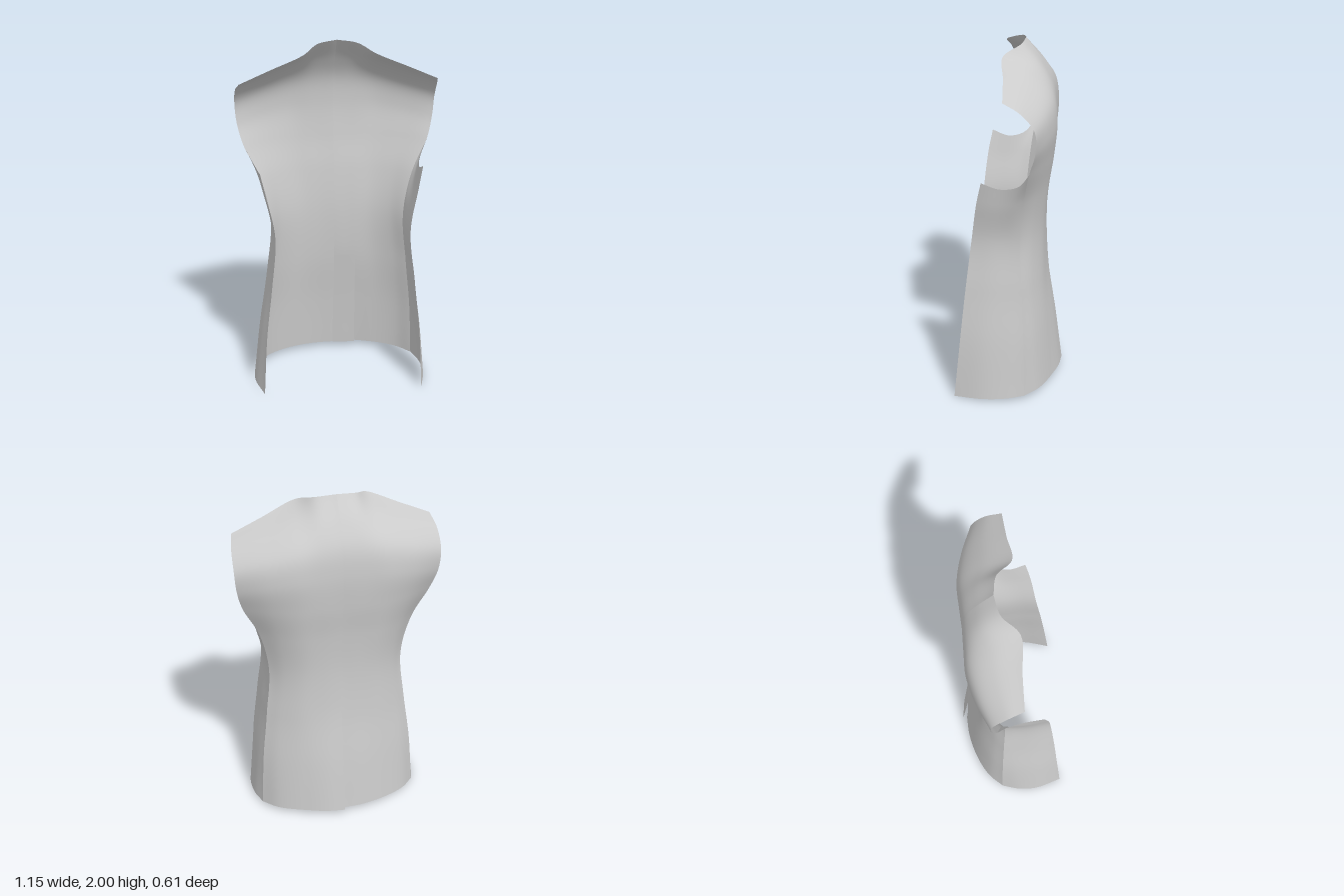
import * as THREE from 'three';

const cloth = new THREE.MeshStandardMaterial({ color: 0xcccccc, side: THREE.DoubleSide });

// A vertical guide line of the garment, listed from hem to top
const line = (xs, ys, zs) => xs.map((x, i) => new THREE.Vector3(x, ys[i], zs[i]));

// Back panel guides: centre seam, two in between, shoulder blade, side seam with armhole
const backLines = [
  line([0, 0, 0, 0, 0, 0, 0, 0, 0, 0],
    [0.03, 0.35, 0.65, 0.95, 1.2, 1.4, 1.6, 1.75, 1.87, 2.0],
    [-0.28, -0.25, -0.215, -0.2, -0.215, -0.24, -0.253, -0.236, -0.175, -0.08]),
  line([0.12, 0.115, 0.11, 0.105, 0.11, 0.12, 0.13, 0.125, 0.115, 0.11],
    [0.03, 0.35, 0.65, 0.95, 1.2, 1.4, 1.6, 1.745, 1.865, 1.985],
    [-0.275, -0.245, -0.21, -0.2, -0.217, -0.245, -0.257, -0.238, -0.17, -0.055]),
  line([0.26, 0.25, 0.235, 0.22, 0.23, 0.25, 0.26, 0.25, 0.23, 0.205],
    [0.03, 0.35, 0.65, 0.95, 1.2, 1.4, 1.59, 1.735, 1.855, 1.942],
    [-0.24, -0.215, -0.19, -0.185, -0.21, -0.24, -0.258, -0.232, -0.125, 0.035]),
  line([0.39, 0.375, 0.345, 0.32, 0.34, 0.385, 0.41, 0.41, 0.4, 0.38],
    [0.025, 0.35, 0.65, 0.95, 1.2, 1.4, 1.56, 1.69, 1.79, 1.865],
    [-0.175, -0.155, -0.135, -0.135, -0.165, -0.2, -0.222, -0.203, -0.11, 0.025]),
  line([0.47, 0.45, 0.415, 0.39, 0.44, 0.53, 0.565, 0.575, 0.572, 0.555],
    [0.02, 0.35, 0.65, 0.95, 1.2, 1.39, 1.52, 1.64, 1.735, 1.788],
    [-0.095, -0.09, -0.078, -0.068, -0.09, -0.12, -0.153, -0.15, -0.075, 0.018]),
];

// Side panel guides: side seam (shared with the back), under the arm, front edge
const sideLines = [
  backLines[4].slice(0, 6),
  line([0.5, 0.465, 0.42, 0.392, 0.443, 0.482], [0.015, 0.35, 0.65, 0.95, 1.18, 1.305],
    [0.01, 0, -0.005, -0.005, -0.035, -0.06]),
  line([0.503, 0.467, 0.423, 0.395, 0.437, 0.457], [0.01, 0.35, 0.65, 0.95, 1.17, 1.28],
    [0.13, 0.12, 0.105, 0.095, 0.06, 0.04]),
  line([0.46, 0.442, 0.41, 0.385, 0.432, 0.46], [0, 0.35, 0.65, 0.95, 1.19, 1.315],
    [0.29, 0.258, 0.23, 0.197, 0.166, 0.14]),
];

// Vent underlay: a strip lying just inside the centre back
const ventLines = [
  line([-0.005, -0.003, 0], [0.03, 0.35, 0.65], [-0.275, -0.242, -0.205]),
  line([0.065, 0.065, 0.065], [0.03, 0.35, 0.65], [-0.268, -0.236, -0.2]),
  line([0.13, 0.128, 0.125], [0.03, 0.35, 0.65], [-0.262, -0.23, -0.196]),
];

// Smooth sheet through the guide lines; side = 1 or -1 mirrors it in x
function loft(lines, nu, nv, side, adjust) {
  const curves = lines.map(l => new THREE.CatmullRomCurve3(l));
  const pos = [], index = [];
  for (let j = 0; j <= nv; j++) {
    const row = new THREE.CatmullRomCurve3(curves.map(c => c.getPoint(j / nv)));
    for (let i = 0; i <= nu; i++) {
      const p = row.getPoint(i / nu);
      if (adjust) adjust(p, side);
      pos.push(p.x * side, p.y, p.z);
    }
  }
  for (let j = 0; j < nv; j++) {
    for (let i = 0; i < nu; i++) {
      const a = j * (nu + 1) + i, b = a + 1, c = a + nu + 1, d = c + 1;
      if (side > 0) index.push(a, c, b, b, c, d);
      else index.push(a, b, c, b, d, c);
    }
  }
  const g = new THREE.BufferGeometry();
  g.setAttribute('position', new THREE.Float32BufferAttribute(pos, 3));
  g.setIndex(index);
  g.computeVertexNormals();
  return g;
}

// The hem swings slightly to one side, and one vent edge lifts outward
function drape(p, side) {
  const low = Math.max(0, 1 - p.y / 0.7);
  p.x -= side * 0.01 * low * Math.min(1, p.x / 0.3);
  if (p.z > 0 && p.y < 1.3) p.z += side * 0.015 * (1 - p.y / 1.3) * Math.min(1, p.z / 0.25);
  if (side > 0) p.z -= 0.024 * low * Math.max(0, 1 - p.x / 0.22);
}

export function createModel() {
  const model = new THREE.Group();
  model.name = 'jacketBack';
  const add = (name, geometry) => {
    const mesh = new THREE.Mesh(geometry, cloth);
    mesh.name = name;
    model.add(mesh);
  };

  for (const [side, word] of [[1, 'left'], [-1, 'right']]) {
    add(word + 'BackPanel', loft(backLines, 32, 72, side, drape));
    add(word + 'SidePanel', loft(sideLines, 24, 40, side, drape));
  }
  add('ventUnderlay', loft(ventLines, 8, 20, 1));
  return model;
}
